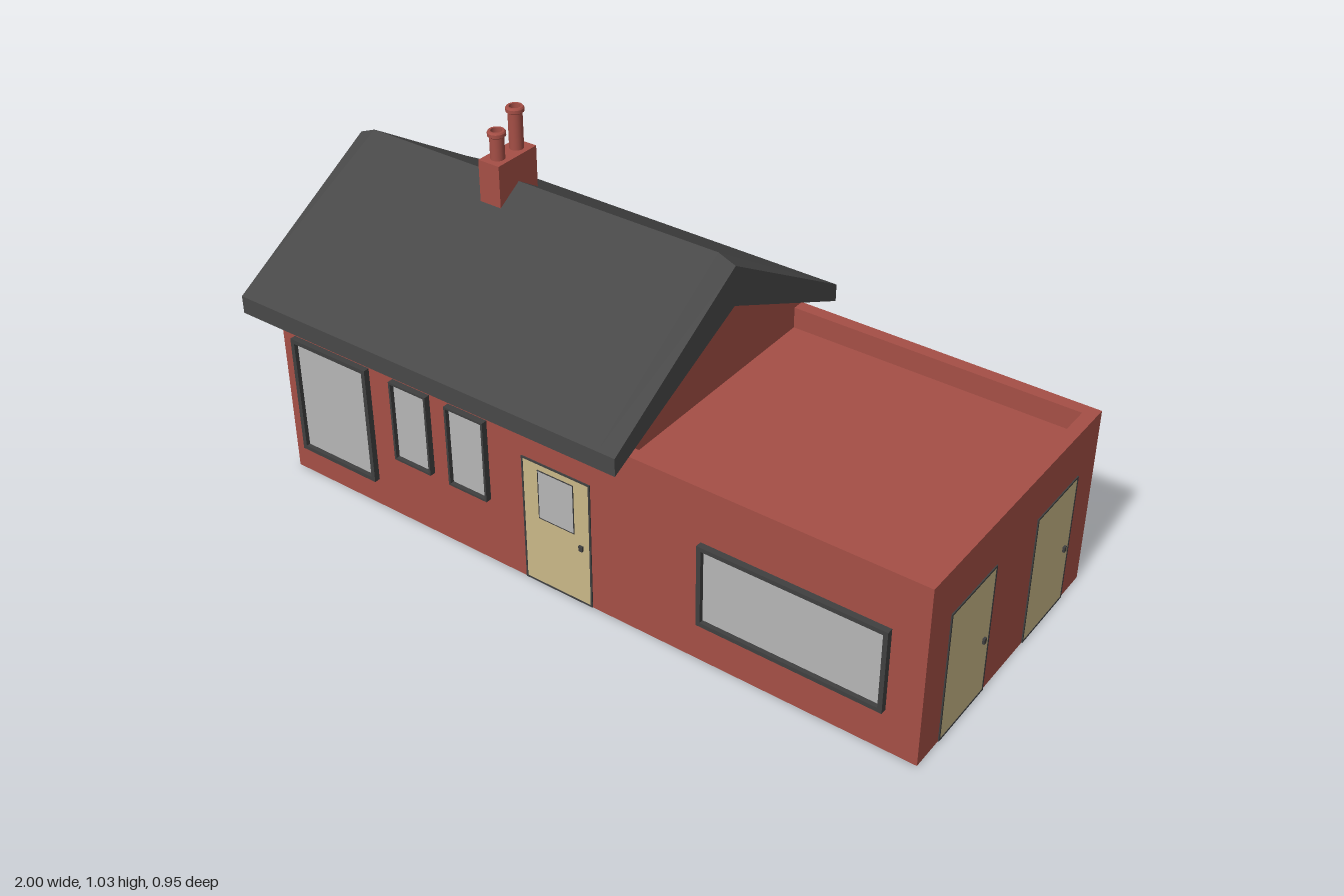
import * as THREE from 'three';

const paint = (color) => new THREE.MeshStandardMaterial({ color, flatShading: true });

export function createModel() {
  const brick = paint(0xa54f46), slate = paint(0x484848), dark = paint(0x404040);
  const wood = paint(0xcab888), glass = paint(0xb6b6b6);
  const clay = new THREE.MeshStandardMaterial({ color: 0xa54f46 });
  const house = new THREE.Group();
  house.name = 'house';

  const add = (parent, name, geometry, material) => {
    const mesh = new THREE.Mesh(geometry, material);
    mesh.name = name;
    parent.add(mesh);
    return mesh;
  };
  // Box given by its lower and upper limits
  const box = (parent, name, material, x0, x1, y0, y1, z0, z1) => {
    const mesh = add(parent, name, new THREE.BoxGeometry(x1 - x0, y1 - y0, z1 - z0), material);
    mesh.position.set((x0 + x1) / 2, (y0 + y1) / 2, (z0 + z1) / 2);
    return mesh;
  };
  const polygon = (points) => new THREE.Shape(points.map(([x, y]) => new THREE.Vector2(x, y)));
  const rect = (x0, x1, y0, y1) => [[x0, y0], [x1, y0], [x1, y1], [x0, y1]];

  const W = 0.405; // half depth of the walls
  const GABLE_X = 0.145, LEFT = -0.94, RIGHT = 0.99;

  // Main building with gabled ends
  const gable = polygon([[-W, 0], [W, 0], [W, 0.53], [0, 0.72], [-W, 0.53]]);
  const main = add(house, 'mainWalls',
    new THREE.ExtrudeGeometry(gable, { depth: GABLE_X - LEFT, bevelEnabled: false }), brick);
  main.rotation.y = Math.PI / 2;
  main.position.x = LEFT;

  // Flat-roofed annex with a parapet on three sides
  const deck = 0.45, top = 0.51, rim = 0.035;
  box(house, 'annex', brick, GABLE_X, RIGHT, 0, deck, -W, W);
  const parapet = polygon([
    [GABLE_X, -W], [RIGHT, -W], [RIGHT, W], [GABLE_X, W],
    [GABLE_X, W - rim], [RIGHT - rim, W - rim], [RIGHT - rim, rim - W], [GABLE_X, rim - W],
  ]);
  const wall = add(house, 'parapet',
    new THREE.ExtrudeGeometry(parapet, { depth: top - deck, bevelEnabled: false }), brick);
  wall.rotation.x = -Math.PI / 2;
  wall.position.y = deck;

  add(house, 'pitchedRoof', roofGeometry(), slate);

  // Chimney stack with two pots of different height
  const chimney = new THREE.Group();
  chimney.name = 'chimney';
  chimney.position.x = -0.488;
  house.add(chimney);
  box(chimney, 'chimneyStack', brick, -0.033, 0.033, 0.74, 0.92, -0.073, 0.073);
  for (const [z, h] of [[0.037, 0.997], [-0.036, 1.035]]) {
    const profile = [[0, 0.91], [0.019, 0.91], [0.019, h - 0.017], [0.024, h - 0.013],
      [0.024, h - 0.004], [0.021, h], [0.015, h], [0.015, h - 0.03], [0, h - 0.03]];
    // Each straight run is its own lathe so the rims stay crisp
    for (let i = 1; i < profile.length; i++) {
      const run = [profile[i - 1], profile[i]].map(([r, y]) => new THREE.Vector2(r, y));
      add(chimney, 'chimneyPot', new THREE.LatheGeometry(run, 20), clay).position.z = z;
    }
  }

  // Framed opening, drawn in the wall plane and facing +z
  const frame = (parent, x0, x1, y0, y1, t, depth, sill = t) => {
    const shape = polygon(rect(x0, x1, y0, y1));
    shape.holes.push(polygon(rect(x0 + t, x1 - t, y0 + sill, y1 - t)));
    add(parent, 'frame', new THREE.ExtrudeGeometry(shape, { depth, bevelEnabled: false }), dark);
  };
  const makeWindow = (parent, x0, x1, y0, y1, t) => {
    const group = new THREE.Group();
    group.name = 'window';
    parent.add(group);
    frame(group, x0, x1, y0, y1, t, 0.017);
    box(group, 'pane', glass, x0 + t, x1 - t, y0 + t, y1 - t, 0, 0.005);
  };
  const makeDoor = (parent, x, glazed) => {
    const group = new THREE.Group();
    group.name = 'door';
    group.position.x = x;
    parent.add(group);
    frame(group, -0.105, 0.105, 0.001, 0.376, 0.005, 0.003);
    box(group, 'doorLeaf', wood, -0.1, 0.1, 0.006, 0.371, -0.002, 0.002);
    box(group, 'doorHandle', dark, 0.07, 0.081, 0.167, 0.182, 0, 0.008);
    if (glazed) {
      frame(group, -0.055, 0.055, 0.208, 0.354, 0.002, 0.004);
      box(group, 'doorPane', glass, -0.053, 0.053, 0.21, 0.352, 0, 0.003);
    }
  };
  const facade = (name, x, z, turn) => {
    const group = new THREE.Group();
    group.name = name;
    group.position.set(x, 0, z);
    group.rotation.y = turn;
    house.add(group);
    return group;
  };

  const front = facade('frontOpenings', 0, W, 0);
  makeWindow(front, -0.897, -0.635, 0.083, 0.432, 0.012);
  makeWindow(front, -0.553, -0.43, 0.193, 0.432, 0.006);
  makeWindow(front, -0.368, -0.243, 0.193, 0.432, 0.006);
  makeWindow(front, 0.395, 0.9, 0.12, 0.356, 0.012);
  makeDoor(front, -0.03, true);

  const back = facade('backOpenings', 0, -W, Math.PI);
  makeDoor(back, 0.03, true);
  makeWindow(back, 0.443, 0.88, 0.172, 0.432, 0.012);

  const side = facade('sideOpenings', RIGHT, 0, Math.PI / 2);
  makeDoor(side, -0.205, false);
  makeDoor(side, 0.205, false);

  return house;
}

// Chevron cross-sections along x, with the ridge dipping at both ends
function roofGeometry() {
  const sections = [[-1, 0.83], [-0.95, 0.85], [0.155, 0.85], [0.205, 0.83]];
  const positions = [], index = [];
  for (const [x, ridge] of sections) {
    const loop = [[0.475, 0.5], [0.475, 0.55], [0, ridge], [-0.475, 0.55], [-0.475, 0.5], [0, 0.72]];
    for (const [z, y] of loop) positions.push(x, y, z);
  }
  for (let i = 0; i < sections.length - 1; i++) {
    for (let j = 0; j < 6; j++) {
      const a = i * 6 + j, b = i * 6 + (j + 1) % 6;
      index.push(a, a + 6, b + 6, a, b + 6, b);
    }
  }
  const end = (sections.length - 1) * 6;
  for (const [a, b, c] of [[0, 1, 2], [0, 2, 5], [2, 3, 4], [2, 4, 5]]) {
    index.push(a, b, c, end + a, end + c, end + b);
  }
  const geometry = new THREE.BufferGeometry();
  geometry.setAttribute('position', new THREE.Float32BufferAttribute(positions, 3));
  geometry.setIndex(index);
  const flat = geometry.toNonIndexed();
  flat.computeVertexNormals();
  return flat;
}
